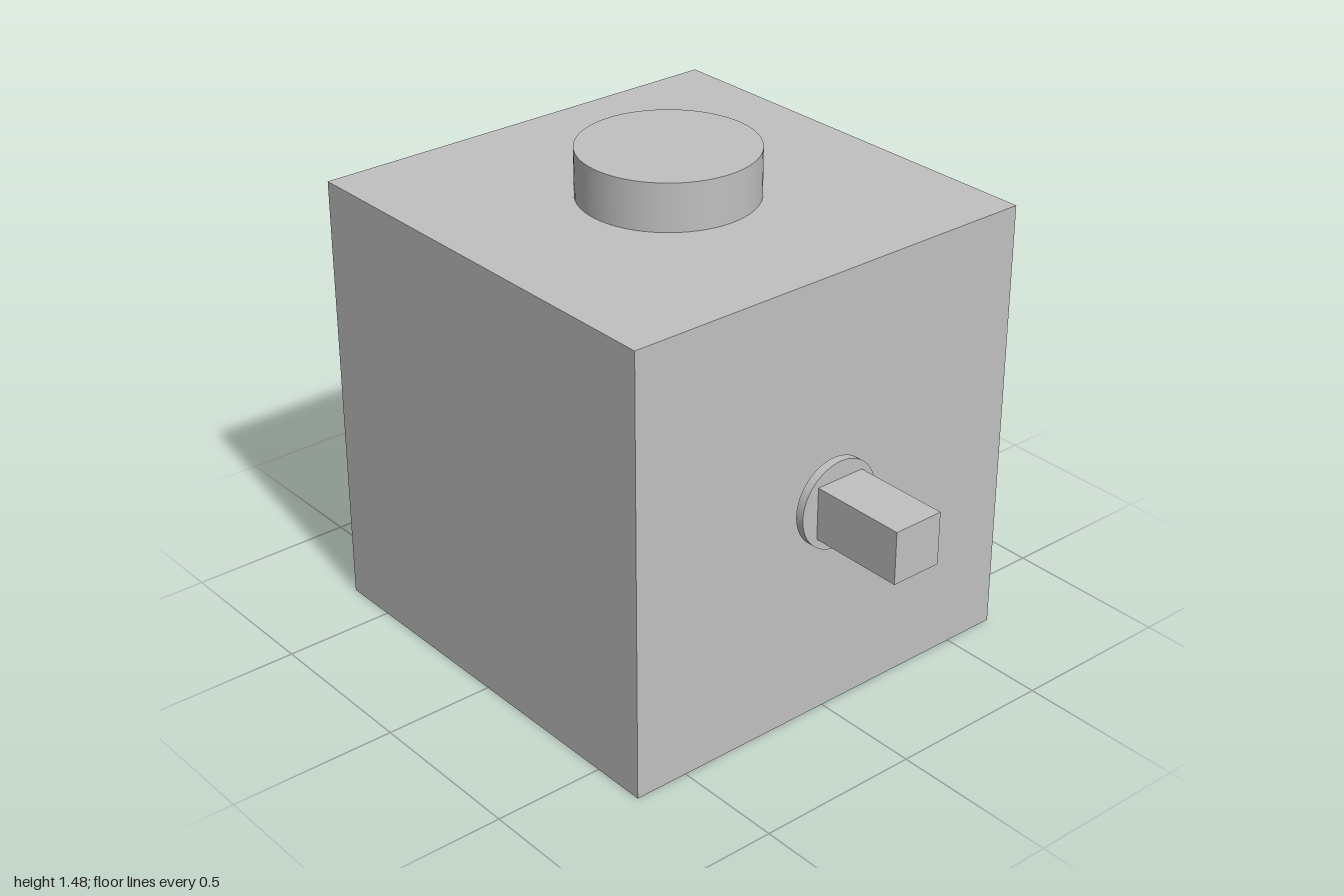
import * as THREE from 'three';

export function createModel() {
  const model = new THREE.Group();
  const grey = new THREE.MeshStandardMaterial({ color: 0xc0c0c0 });
  grey.name = 'light grey';

  const side = 1.333;       // edge of the cubic body
  const axleY = side / 2 + 0.003;

  function add(parent, name, geometry, x, y, z) {
    const mesh = new THREE.Mesh(geometry, grey);
    mesh.name = name;
    mesh.position.set(x, y, z);
    parent.add(mesh);
    return mesh;
  }

  // Cubic body with a round cap on top
  add(model, 'body', new THREE.BoxGeometry(side, side, side), 0, side / 2, 0);
  const capHeight = 0.142;
  add(model, 'topCap', new THREE.CylinderGeometry(0.258, 0.258, capHeight, 64), 0, side + capHeight / 2, 0);

  // Square shaft with a thin round collar, front and back
  const shaftLength = 1 - side / 2;
  for (const [end, s] of [['front', 1], ['back', -1]]) {
    const axle = new THREE.Group();
    axle.name = end + 'Axle';
    add(axle, end + 'Shaft', new THREE.BoxGeometry(0.158, 0.158, shaftLength), 0, axleY, s * (1 - shaftLength / 2));
    const collar = new THREE.CylinderGeometry(0.132, 0.132, 0.026, 64).rotateX(Math.PI / 2);
    add(axle, end + 'Collar', collar, 0, axleY, s * 0.694);
    model.add(axle);
  }
  return model;
}
